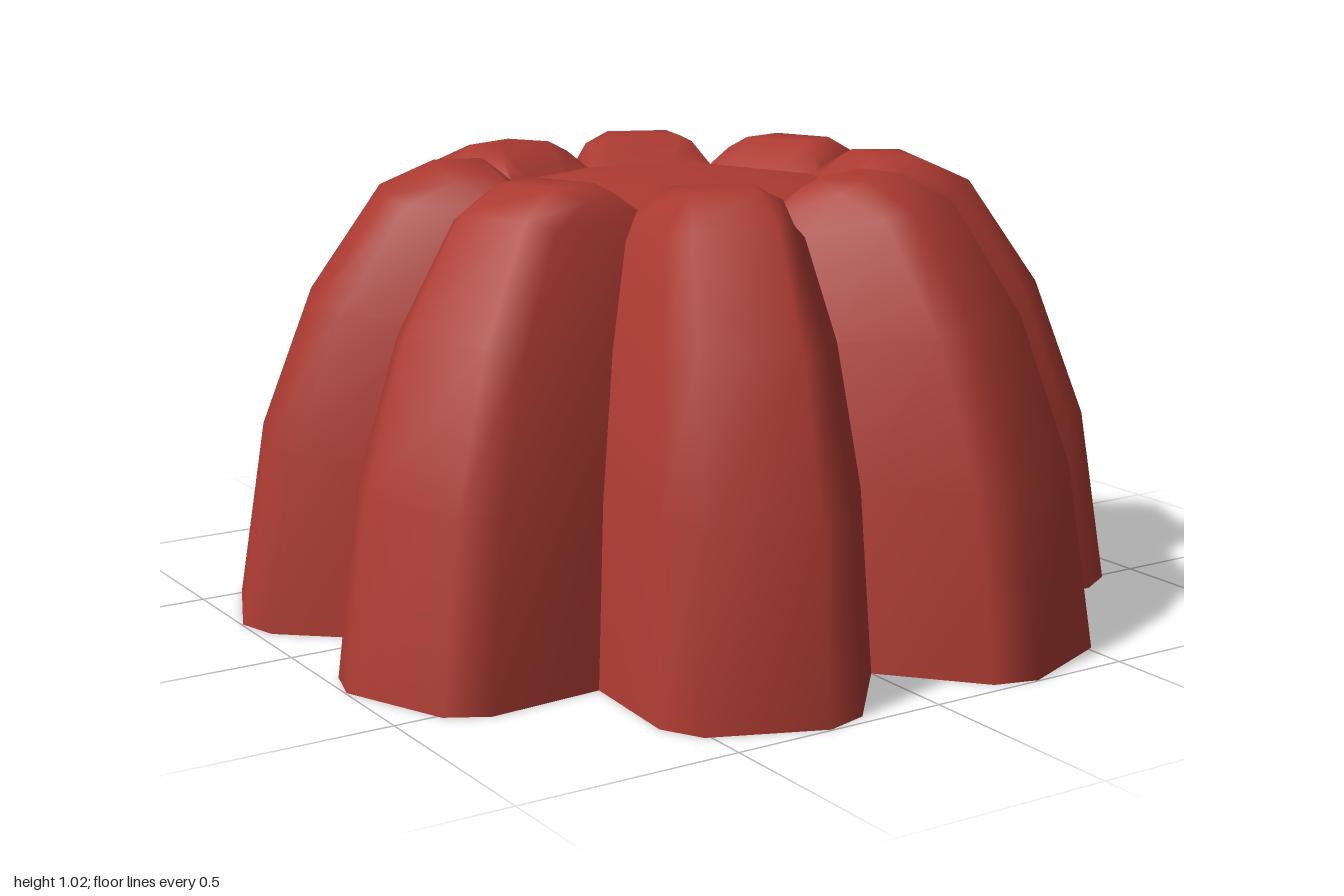
import * as THREE from 'three';

const LOBES = 8;
const STEP = (Math.PI * 2) / LOBES;

// Cross-sections of half a lobe, from the base up and over to the cap:
// [crest depth, crest half-width, crest y, shoulder depth, shoulder half-width, shoulder y, valley radius, valley y]
const RINGS = [
  [1.025, 0.13, 0, 0.962, 0.21, 0, 0.77, 0],
  [0.960, 0.122, 0.41, 0.901, 0.197, 0.41, 0.722, 0.40],
  [0.840, 0.107, 0.73, 0.789, 0.172, 0.72, 0.631, 0.70],
  [0.677, 0.088, 0.97, 0.635, 0.139, 0.95, 0.51, 0.91],
  [0.554, 0.075, 1.025, 0.52, 0.135, 1.0, 0.43, 0.95],
  [0.440, 0.090, 1.025, 0.41, 0.125, 1.0, 0.40, 0.96],
  [0.360, 0.050, 0.96, 0.36, 0.10, 0.96, 0.39, 0.96],
];

function meshGeometry(positions, index) {
  const geometry = new THREE.BufferGeometry();
  geometry.setAttribute('position', new THREE.Float32BufferAttribute(positions, 3));
  geometry.setIndex(index);
  geometry.computeVertexNormals();
  return geometry;
}

// Six points across a lobe that faces +z
function section([ca, ct, cy, sa, st, sy, vr, vy]) {
  const va = vr * Math.cos(STEP / 2), vt = vr * Math.sin(STEP / 2);
  return [[-vt, vy, va], [-st, sy, sa], [-ct, cy, ca], [ct, cy, ca], [st, sy, sa], [vt, vy, va]];
}

// Smooth skin over the lobe; separate lobes keep the valleys sharp
function lobeGeometry() {
  const positions = RINGS.flatMap(section).flat();
  const index = [];
  for (let i = 0; i < RINGS.length - 1; i++) {
    for (let j = 0; j < 5; j++) {
      const a = i * 6 + j, b = a + 6;
      index.push(a, a + 1, b + 1, a, b + 1, b);
    }
  }
  return meshGeometry(positions, index);
}

// Fan from a centre point to a rim running anticlockwise seen from above
function fanGeometry(centreY, rim, faceUp) {
  const positions = [0, centreY, 0, ...rim.flat()];
  const index = [];
  for (let i = 0; i < rim.length; i++) {
    const a = i + 1, b = ((i + 1) % rim.length) + 1;
    index.push(0, ...(faceUp ? [a, b] : [b, a]));
  }
  return meshGeometry(positions, index);
}

// One lobe's section repeated around the centre
function rimPoints(ring) {
  const points = [];
  for (let k = 0; k < LOBES; k++) {
    for (const p of section(ring).slice(0, 5)) {
      points.push(new THREE.Vector3(...p).applyAxisAngle(new THREE.Vector3(0, 1, 0), (k + 0.5) * STEP).toArray());
    }
  }
  return points;
}

export function createModel() {
  const group = new THREE.Group();
  group.name = 'flutedDome';
  const red = new THREE.MeshStandardMaterial({ color: 0xac3b32 });
  red.name = 'brickRed';

  const add = (name, geometry) => {
    const mesh = new THREE.Mesh(geometry, red);
    mesh.name = name;
    group.add(mesh);
    return mesh;
  };

  // Ring of lobes
  const lobe = lobeGeometry();
  for (let k = 0; k < LOBES; k++) add(`lobe${k + 1}`, lobe).rotation.y = (k + 0.5) * STEP;

  // Slightly domed cap and flat underside
  add('cap', fanGeometry(1.02, rimPoints(RINGS[RINGS.length - 1]), true));
  add('base', fanGeometry(0, rimPoints(RINGS[0]), false));

  return group;
}
